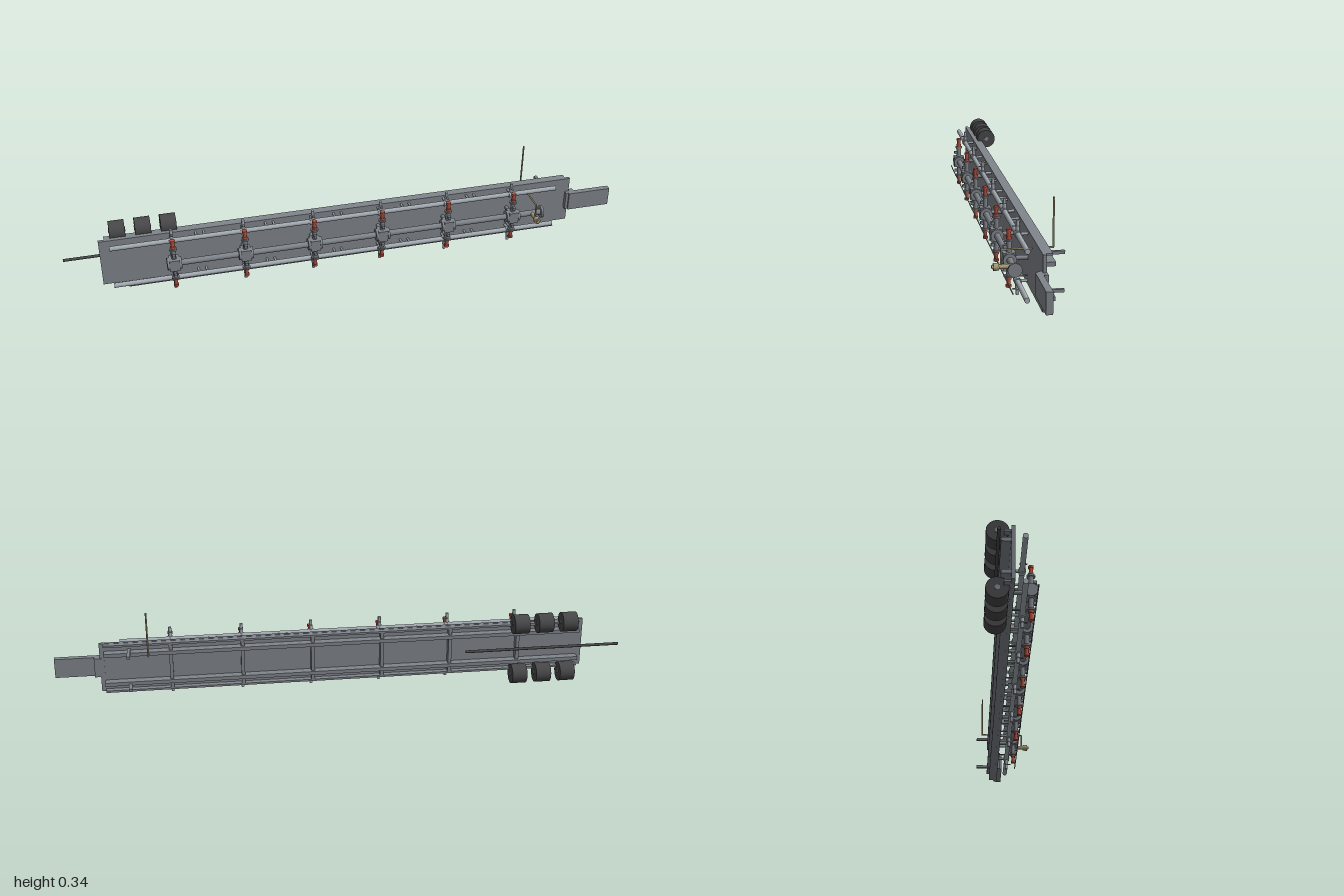
import * as THREE from 'three';

const CY = 0.13; // height of the long axis
const mat = (c) => new THREE.MeshStandardMaterial({ color: c });

export function createModel() {
  const root = new THREE.Group();
  const steel = mat(0x80858c), light = mat(0xa3abb2), dark = mat(0x48484a);
  const red = mat(0xb4503f), brass = mat(0xa79e78);

  // Box given by its limits on each axis
  function box(name, m, x0, x1, y0, y1, z0, z1, parent = root) {
    const b = new THREE.Mesh(new THREE.BoxGeometry(x1 - x0, y1 - y0, z1 - z0), m);
    b.position.set((x0 + x1) / 2, (y0 + y1) / 2, (z0 + z1) / 2);
    b.name = name;
    parent.add(b);
    return b;
  }
  // Round bar between two points
  function bar(name, m, a, b, r, parent = root, sides = 20) {
    const p = new THREE.Vector3(...a), q = new THREE.Vector3(...b);
    const d = q.clone().sub(p);
    const c = new THREE.Mesh(new THREE.CylinderGeometry(r, r, d.length(), sides), m);
    c.position.copy(p).add(q).multiplyScalar(0.5);
    c.quaternion.setFromUnitVectors(new THREE.Vector3(0, 1, 0), d.normalize());
    c.name = name;
    parent.add(c);
    return c;
  }

  const stations = [-0.63, -0.382, -0.136, 0.11, 0.355, 0.602];

  // Deck, drawbar and underframe
  box('deck', steel, -0.875, 0.845, 0.042, 0.218, -0.03, -0.019);
  box('drawbarStep', steel, 0.83, 0.865, 0.096, 0.164, -0.032, -0.004);
  box('drawbar', steel, 0.84, 1, 0.096, 0.164, -0.018, 0.0025);
  for (const x of stations) box('crossMember', steel, x - 0.006, x + 0.006, 0.045, 0.215, -0.051, -0.029);
  bar('tailShaft', dark, [-1, CY, -0.07], [-0.435, CY, -0.07], 0.005);

  for (const s of [1, -1]) {
    const Y = (d) => CY + s * d;
    const span = (d0, d1) => [Math.min(Y(d0), Y(d1)), Math.max(Y(d0), Y(d1))];
    // Long beams, support legs and wheels
    box('longBeam', steel, -0.855, 0.83, ...span(0.047, 0.06), -0.06, -0.029);
    box('edgeBeam', steel, -0.855, 0.83, ...span(0.08, 0.087), -0.051, -0.029);
    box('supportLeg', steel, 0.739, 0.75, ...span(0.055, 0.065), -0.104, -0.03);
    for (const x of [-0.807, -0.719, -0.631]) {
      bar('wheel', dark, [x - 0.027, Y(0.095), -0.069], [x + 0.027, Y(0.095), -0.069], 0.0348, root, 32);
      bar('axleHub', steel, [x - 0.029, Y(0.095), -0.069], [x + 0.029, Y(0.095), -0.069], 0.008);
    }
    // Side pipe on brackets
    bar('sidePipe', light, [-0.84, Y(0.076), 0.013], [0.775, Y(0.076), 0.013], 0.0085);
    for (const x of [-0.53, -0.285, -0.04, 0.21, 0.455])
      for (const o of [-0.014, 0.014])
        bar('pipeBracket', light, [x + o, Y(0.076), 0.013], [x + o, Y(0.076), -0.02], 0.004, root, 12);
  }

  // Main pipe with its end flange
  bar('mainPipe', steel, [-0.65, CY, 0.04], [0.715, CY, 0.04], 0.0105);
  bar('endFlange', steel, [0.71, CY, 0.04], [0.719, CY, 0.04], 0.022, root, 32);

  // Lower guide rod
  bar('guideRod', steel, [-0.79, 0.071, 0.053], [0.76, 0.071, 0.053], 0.002, root, 8);

  // Valve stations
  for (const x of stations) {
    const st = new THREE.Group();
    st.name = 'valveStation';
    root.add(st);
    box('crossBody', steel, x - 0.017, x + 0.017, CY - 0.021, CY + 0.021, 0.02, 0.06, st);
    for (const e of [-1, 1])
      bar('bodyFlange', steel, [x + e * 0.017, CY, 0.04], [x + e * 0.025, CY, 0.04], 0.0215, st, 24);
    bar('bodySupport', steel, [x, CY, 0.022], [x, CY, -0.02], 0.007, st);
    box('guideArm', steel, x - 0.004, x + 0.004, 0.0695, 0.0725, -0.02, 0.055, st);
    for (const s of [1, -1]) {
      const col = (name, m, d0, d1, r, z) =>
        bar(name, m, [x, CY + s * d0, z], [x, CY + s * d1, z], r, st);
      // Upright branch with its red valve
      col('branchPipe', steel, 0.02, 0.06, 0.0085, 0.04);
      col('branchFlange', steel, 0.055, 0.061, 0.0135, 0.04);
      col('valveBase', red, 0.061, 0.07, 0.0085, 0.04);
      col('valveNeck', red, 0.07, 0.088, 0.0065, 0.04);
      col('valveCap', red, 0.086, 0.094, 0.0088, 0.04);
      box('branchStub', steel, x - 0.005, x + 0.005, CY + s * 0.037 - 0.005, CY + s * 0.037 + 0.005, 0.04, 0.058, st);
      // Outlet on the side pipe
      bar('outletCollar', light, [x - 0.01, CY + s * 0.076, 0.013], [x + 0.01, CY + s * 0.076, 0.013], 0.0115, st);
      bar('outletBracket', light, [x, CY + s * 0.076, 0.013], [x, CY + s * 0.076, -0.02], 0.005, st);
      col('outletNeck', light, 0.08, 0.101, 0.0065, 0.013);
      col('outletTip', light, 0.104, 0.12, 0.0055, 0.013);
      col('outletStem', light, 0.1, 0.105, 0.003, 0.013);
      box('outletHandle', steel, x - 0.003, x + 0.003, CY + s * 0.1015 - 0.001, CY + s * 0.1015 + 0.001, 0.005, 0.029, st);
    }
  }

  // Relief valve with its vent line
  const X = 0.678;
  bar('reliefNeck', brass, [X, CY, 0.045], [X, CY, 0.084], 0.0075);
  bar('reliefCap', brass, [X, CY, 0.083], [X, CY, 0.1], 0.0115);
  bar('reliefTip', brass, [X, CY, 0.1], [X, CY, 0.105], 0.006);
  const vent = new THREE.CurvePath();
  const pts = [[CY, 0.076], [0.184, 0.076], [0.184, -0.083], [0.341, -0.083]]
    .map(([y, z]) => new THREE.Vector3(X, y, z));
  for (let i = 0; i < 3; i++) vent.add(new THREE.LineCurve3(pts[i], pts[i + 1]));
  vent.curves.forEach((c) => bar('ventLine', brass, c.v1.toArray(), c.v2.toArray(), 0.003, root, 12));
  for (const p of pts.slice(1, 3)) {
    const elbow = new THREE.Mesh(new THREE.SphereGeometry(0.003, 12, 8), brass);
    elbow.position.copy(p);
    elbow.name = 'ventElbow';
    root.add(elbow);
  }
  return root;
}
